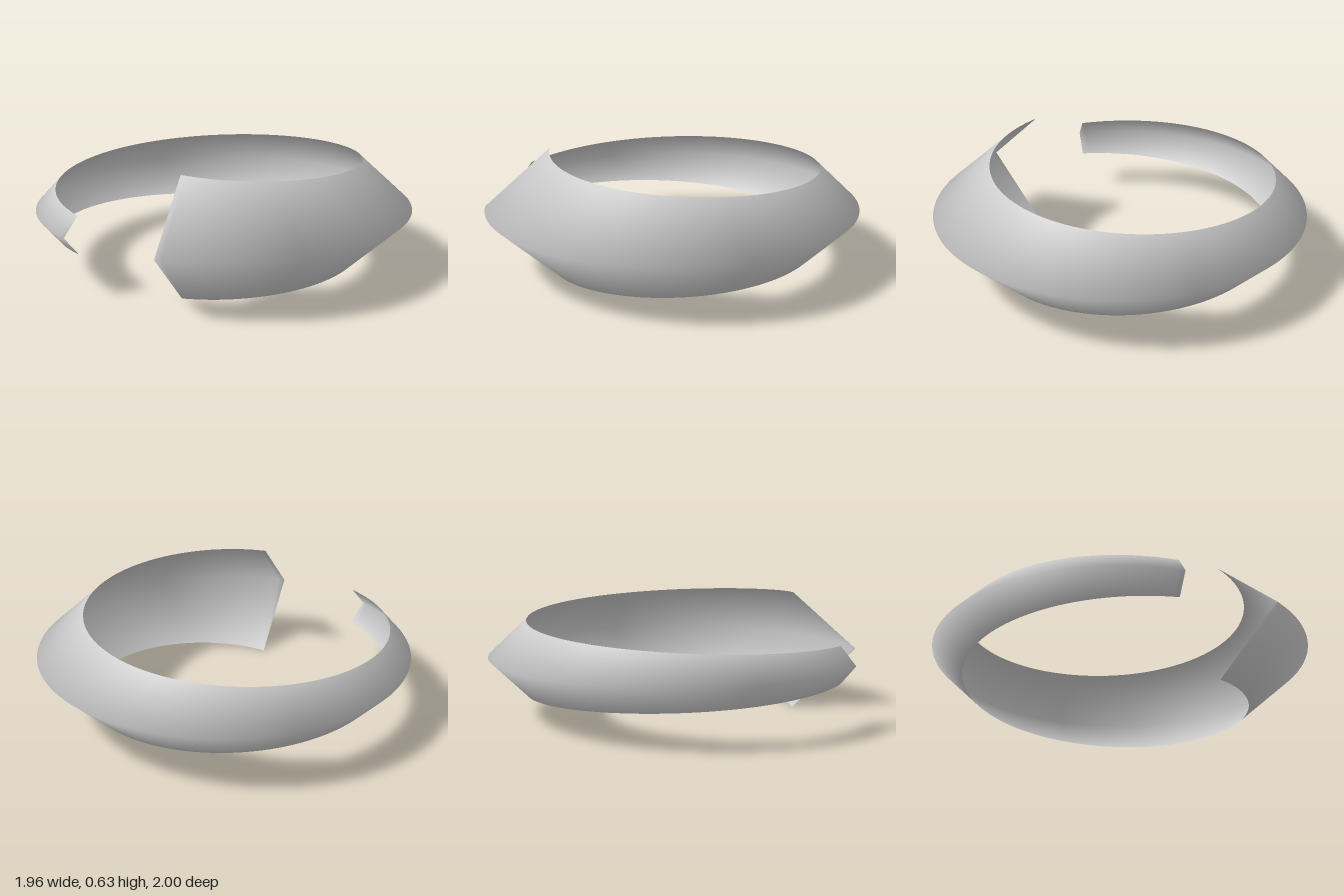
import * as THREE from 'three';

// Open ring swept from a V-shaped section that tapers linearly from end to end
export function createModel() {
  const group = new THREE.Group();
  group.name = 'openRing';

  const segments = 160;
  const centreX = -0.02, midY = 0.317, outerRadius = 1;
  const halfGap = THREE.MathUtils.degToRad(16.3);
  const positions = [], indices = [];

  for (let i = 0; i <= segments; i++) {
    const t = i / segments;
    const angle = THREE.MathUtils.lerp(halfGap, Math.PI * 2 - halfGap, t);
    const depth = THREE.MathUtils.lerp(0.354, 0.083, t);
    const halfHeight = THREE.MathUtils.lerp(0.317, 0.1, t);

    // Section: upper inner rim, outer ridge, lower inner rim
    const section = [
      [outerRadius - depth, halfHeight],
      [outerRadius, 0],
      [outerRadius - depth, -halfHeight],
    ];
    for (const [r, y] of section) {
      positions.push(centreX - r * Math.cos(angle), midY + y, r * Math.sin(angle));
    }

    if (i < segments) {
      for (let j = 0; j < 2; j++) {
        const a = i * 3 + j, b = a + 3;
        indices.push(a, a + 1, b, b, a + 1, b + 1);
      }
    }
  }

  // Shared vertices keep the shading smooth across the ridge
  const geometry = new THREE.BufferGeometry();
  geometry.setAttribute('position', new THREE.Float32BufferAttribute(positions, 3));
  geometry.setIndex(indices);
  geometry.computeVertexNormals();

  const band = new THREE.Mesh(
    geometry,
    new THREE.MeshStandardMaterial({ color: 0xcccccc, side: THREE.DoubleSide })
  );
  band.name = 'taperedBand';
  group.add(band);
  return group;
}
